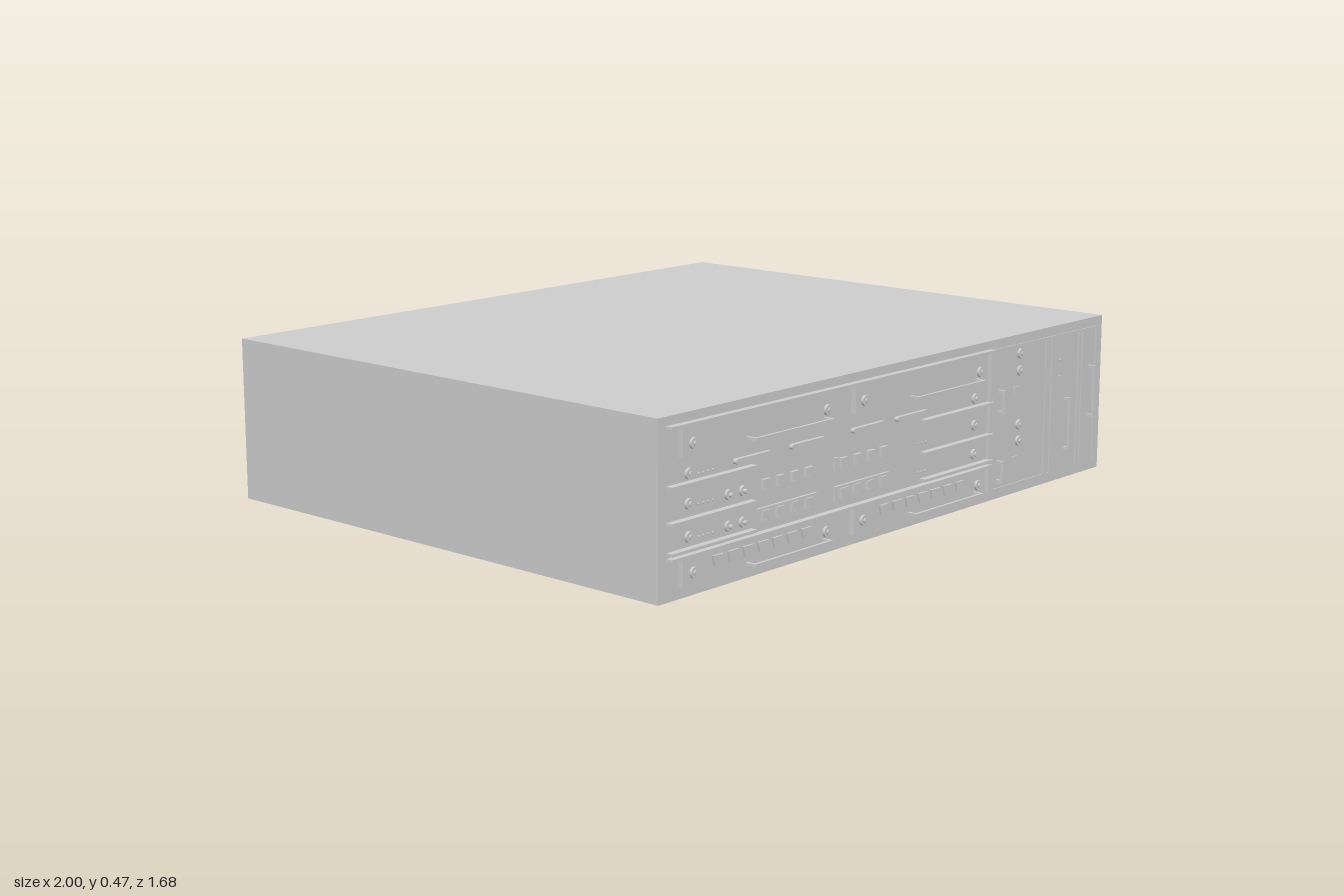
import * as THREE from 'three';

const FACE = 0.79; // z of the front face
const material = new THREE.MeshStandardMaterial({ color: 0xcccccc });

export function createModel() {
  const model = new THREE.Group();
  model.name = 'rackChassis';

  const add = (name, geometry, x, y, z) => {
    const mesh = new THREE.Mesh(geometry, material);
    mesh.name = name;
    mesh.position.set(x, y, z);
    model.add(mesh);
    return mesh;
  };
  // Box standing on the front face, given by its x and y limits
  const plate = (name, x0, x1, y0, y1, depth, base = FACE) =>
    add(name, new THREE.BoxGeometry(x1 - x0, y1 - y0, depth),
      (x0 + x1) / 2, (y0 + y1) / 2, base + depth / 2);
  // Stud pointing forward
  const stud = (name, x, y, radius, depth, base = FACE, sides = 16) => {
    const g = new THREE.CylinderGeometry(radius, radius, depth, sides).rotateX(Math.PI / 2);
    return add(name, g, x, y, base + depth / 2);
  };
  const screw = (x, y, base = FACE, r = 0.015) => {
    stud('screwHead', x, y, r, 0.008, base);
    stud('screwCentre', x, y, r * 0.45, 0.012, base);
  };
  // Hollow rectangular or trapezoid socket
  const socket = (name, x, y, w, h, depth, taper = 0, base = FACE) => {
    const outline = (k) => [
      [-w / 2 + k, h / 2 - k], [w / 2 - k, h / 2 - k],
      [w / 2 - taper - k, -h / 2 + k], [-w / 2 + taper + k, -h / 2 + k],
    ].map(([a, b]) => new THREE.Vector2(a, b));
    const shape = new THREE.Shape(outline(0));
    shape.holes.push(new THREE.Path(outline(0.004)));
    add(name, new THREE.ExtrudeGeometry(shape, { depth, bevelEnabled: false }), x, y, base);
  };
  // Pull handle: two legs and a grip
  const handle = (name, x0, x1, y0, y1, reach, base) => {
    const t = 0.008;
    const vertical = y1 - y0 > x1 - x0;
    plate(name + 'Grip', x0, x1, y0, y1, t, base + reach - t);
    if (vertical) {
      plate(name + 'Leg', x0, x1, y0, y0 + t, reach - t, base);
      plate(name + 'Leg', x0, x1, y1 - t, y1, reach - t, base);
    } else {
      plate(name + 'Leg', x0, x0 + t, y0, y1, reach - t, base);
      plate(name + 'Leg', x1 - t, x1, y0, y1, reach - t, base);
    }
  };

  // Chassis
  add('chassis', new THREE.BoxGeometry(2, 0.475, 1.63), 0, 0.2375, -0.025);

  // Four cover modules with screws and pull handles
  const panelDepth = 0.016;
  const panelFace = FACE + panelDepth;
  for (const [x0, x1, s0, s1, h0, h1] of [
    [-0.925, -0.32, -0.888, -0.358, -0.685, -0.365],
    [-0.235, 0.37, -0.198, 0.337, 0.005, 0.325],
  ]) {
    for (const [y0, y1, ys, yh] of [[0.366, 0.445, 0.398, 0.376], [0.03, 0.108, 0.066, 0.045]]) {
      plate('coverModule', x0, x1, y0, y1, panelDepth);
      screw(s0, ys, panelFace);
      screw(s1, ys, panelFace);
      handle('moduleHandle', h0, h1, yh - 0.004, yh + 0.004, 0.032, panelFace);
    }
    // Row of trapezoid sockets on the lower module
    for (let i = 0; i < 7; i++) {
      socket('lowerSocket', x0 + 0.128 + i * 0.0588, 0.08, 0.042, 0.028, 0.006, 0.007, panelFace);
    }
  }

  // Shelf rails dividing the card rows
  for (const y of [0.447, 0.11]) plate('longRail', -0.97, 0.41, y - 0.004, y + 0.004, 0.02);
  for (const y of [0.295, 0.202, 0.125]) {
    plate('leftRail', -0.97, -0.645, y - 0.004, y + 0.004, 0.02);
    plate('rightRail', 0.08, 0.41, y - 0.004, y + 0.004, 0.02);
  }
  plate('middleRail', -0.625, -0.385, 0.17, 0.177, 0.008);
  plate('middleRail', -0.31, -0.07, 0.17, 0.177, 0.008);

  // Card rows: screws and indicator lights
  for (const y of [0.318, 0.24, 0.155]) {
    screw(-0.888, y);
    screw(0.337, y);
    for (let i = 0; i < 4; i++) {
      stud('indicator', -0.85 + i * 0.018, y - 0.007, 0.0035, 0.004, FACE, 8);
    }
  }

  // Long rounded connectors in the upper row
  for (const x of [-0.648, -0.425, -0.165, 0.03]) {
    const s = new THREE.Shape();
    s.absarc(0.064, 0, 0.007, -Math.PI / 2, Math.PI / 2);
    s.absarc(-0.064, 0, 0.007, Math.PI / 2, Math.PI * 1.5);
    add('longConnector', new THREE.ExtrudeGeometry(s, { depth: 0.012, bevelEnabled: false, curveSegments: 6 }),
      x, 0.318, FACE);
  }

  // Round and square ports in the two middle rows
  for (const y of [0.238, 0.155]) {
    for (const x of [-0.738, -0.682]) {
      stud('roundPort', x, y - 0.002, 0.014, 0.008);
      stud('roundPortPin', x, y - 0.002, 0.006, 0.018);
    }
    for (const start of [-0.594, -0.27]) {
      for (let i = 0; i < 4; i++) {
        const x = start + i * 0.0585;
        socket('squarePort', x, y, 0.028, 0.028, 0.01);
        plate('portTab', x - 0.007, x + 0.007, y - 0.017, y - 0.013, 0.008);
      }
    }
    socket('narrowPort', -0.303, y, 0.012, 0.038, 0.008);
    for (let i = 0; i < 3; i++) {
      stud('indicator', 0.07 + i * 0.017, y - 0.007, 0.0035, 0.004, FACE, 8);
    }
  }

  // Vertical edge strips around the power bays
  for (const [x0, x1, d] of [
    [0.4, 0.415, 0.012], [0.421, 0.436, 0.004],
    [0.695, 0.715, 0.004], [0.727, 0.733, 0.004],
    [0.87, 0.885, 0.004], [0.891, 0.906, 0.004], [0.964, 0.97, 0.004],
  ]) plate('bayStrip', x0, x1, 0.03, 0.447, d);
  plate('bayTopEdge', 0.42, 0.964, 0.443, 0.447, 0.003);
  plate('bayBottomEdge', 0.42, 0.733, 0.028, 0.032, 0.003);

  // Power bay handles, sockets and screws
  for (const [x, y0, y1] of [
    [0.458, 0.255, 0.325], [0.458, 0.05, 0.115],
    [0.805, 0.09, 0.25], [0.935, 0.17, 0.33],
  ]) handle('bayHandle', x - 0.004, x + 0.004, y0, y1, 0.024, FACE);
  for (const y of [0.418, 0.367, 0.206, 0.157]) screw(0.562, y);
  for (const y of [0.31, 0.1]) socket('powerSocket', 0.545, y, 0.025, 0.025, 0.004);
  for (const y of [0.368, 0.318]) stud('bayIndicator', 0.773, y, 0.004, 0.004, FACE, 8);

  return model;
}
